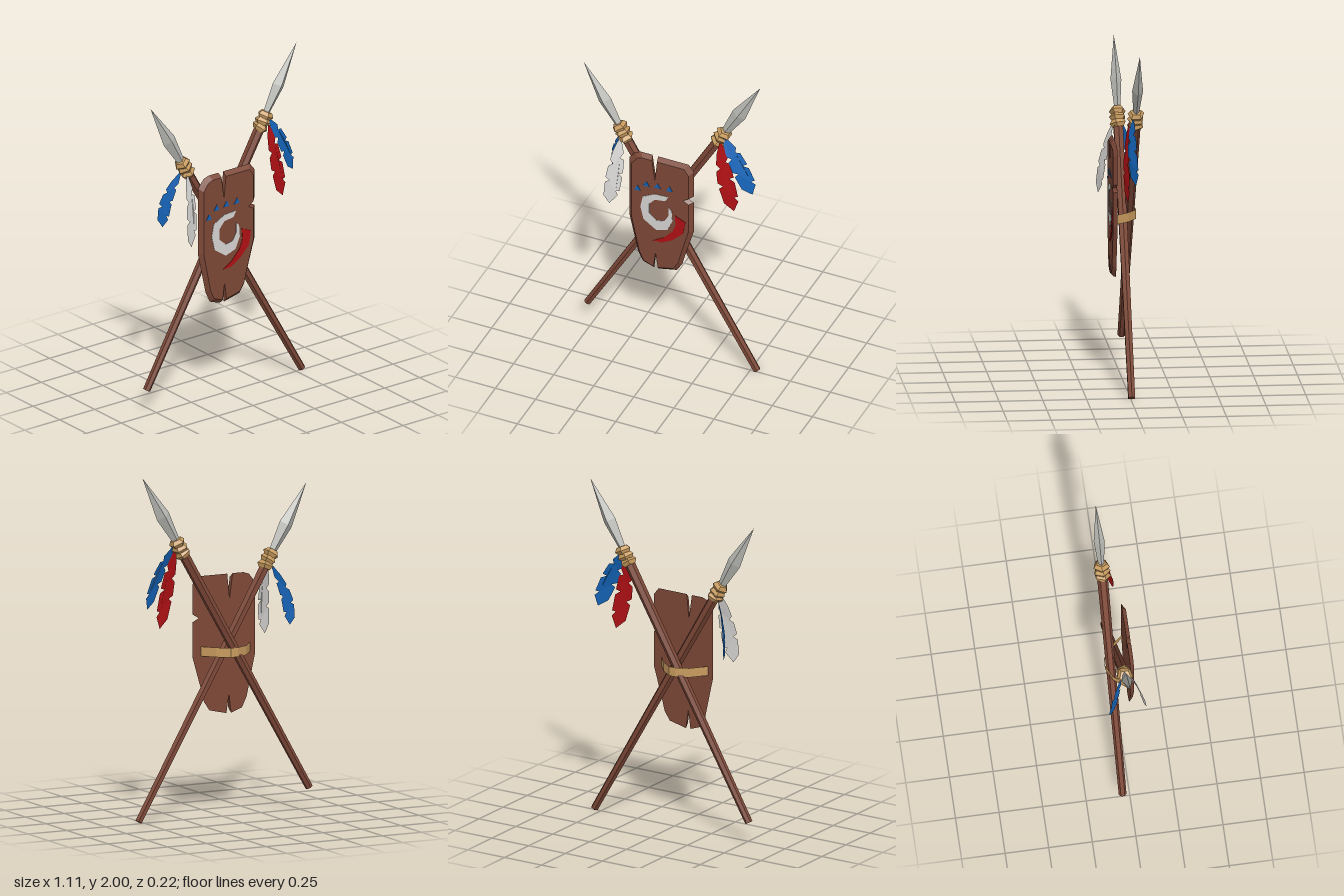
import * as THREE from 'three';

const mat = (name, color, side = THREE.FrontSide) => {
  const m = new THREE.MeshStandardMaterial({ color, side, flatShading: true });
  m.name = name;
  return m;
};

export function createModel() {
  const D = THREE.DoubleSide;
  const wood = mat('brown wood', 0x7d4837);
  const steel = mat('grey steel', 0xbcbcb8);
  const tan = mat('tan leather', 0xc89b5e, D);
  const red = mat('red', 0xb01014, D);
  const blue = mat('blue', 0x1464b8, D);
  const white = mat('white', 0xd6d5d3, D);

  const model = new THREE.Group();
  model.name = 'crossedSpearsAndShield';

  const add = (parent, name, geometry, material) => {
    const mesh = new THREE.Mesh(geometry, material);
    mesh.name = name;
    parent.add(mesh);
    return mesh;
  };
  const shapeOf = (pts) => new THREE.Shape(pts.map(([x, y]) => new THREE.Vector2(x, y)));
  const lathe = (pts, sides) =>
    new THREE.LatheGeometry(pts.map(([r, y]) => new THREE.Vector2(r, y)), sides);

  // Spear: tapered shaft, three crooked binding rings and a diamond blade
  function spear(name, foot, tip, turn) {
    const group = new THREE.Group();
    group.name = name;
    const a = new THREE.Vector3(...foot);
    const dir = new THREE.Vector3(...tip).sub(a);
    const L = dir.length();
    group.position.copy(a);
    group.quaternion.setFromUnitVectors(new THREE.Vector3(0, 1, 0), dir.normalize());
    const shaftLength = L - 0.46;
    const shaft = add(group, 'shaft', new THREE.CylinderGeometry(0.031, 0.022, shaftLength, 6), wood);
    shaft.position.y = shaftLength / 2;
    shaft.rotation.y = turn;
    for (let i = 0; i < 3; i++) {
      const ring = add(group, 'binding', lathe(
        [[0, -0.024], [0.034, -0.022], [0.05, 0], [0.034, 0.022], [0, 0.024]], 5), tan);
      ring.position.y = L - 0.525 + i * 0.037;
      ring.rotation.set(0.14 * (i % 2 ? -1 : 1), i * 1.1, 0.12 * (i % 2 ? 1 : -1));
    }
    const blade = add(group, 'blade', lathe(
      [[0, L - 0.47], [0.02, L - 0.465], [0.043, L - 0.265], [0, L]], 4), steel);
    blade.scale.z = 0.72;
    model.add(group);
  }
  spear('rearSpear', [-0.535, 0.13, -0.046], [0.54, 2.0, -0.05], 0);
  spear('frontSpear', [0.54, 0.01, -0.003], [-0.54, 1.88, -0.003], Math.PI / 6);

  // Shield board: notched outline whose front face is drawn in for a bevelled rim
  const outline = [
    [-0.195, 1.375], [-0.16, 1.387], [-0.09, 1.387], [-0.07, 1.24], [-0.055, 1.387], [0.135, 1.387],
    [0.168, 1.345], [0.168, 1.17], [0.128, 1.145], [0.168, 1.125], [0.168, 0.92], [0.11, 0.72],
    [0.095, 0.66], [0.06, 0.608], [-0.05, 0.583], [-0.066, 0.695], [-0.08, 0.583],
    [-0.15, 0.608], [-0.18, 0.67], [-0.235, 0.92], [-0.235, 1.325],
  ];
  const board = new THREE.ExtrudeGeometry(shapeOf(outline), { depth: 0.023, bevelEnabled: false });
  const p = board.attributes.position;
  for (let i = 0; i < p.count; i++) {
    if (p.getZ(i) > 0.01) {
      p.setX(i, -0.034 + (p.getX(i) + 0.034) * 0.88);
      p.setY(i, 0.985 + (p.getY(i) - 0.985) * 0.94);
    }
  }
  board.translate(0, 0, 0.042);
  board.computeVertexNormals();
  add(model, 'shield', board, wood);

  // Painted marks on the shield
  const paint = (name, pts, material) => add(model, name,
    new THREE.ExtrudeGeometry(shapeOf(pts), { depth: 0.003, bevelEnabled: false }), material).position.z = 0.0645;
  paint('crescentMark', [
    [0.02, 1.135], [-0.065, 1.13], [-0.14, 1.09], [-0.155, 1.015], [-0.135, 0.93], [-0.055, 0.875],
    [0.015, 0.9], [0.045, 0.97], [0.04, 1.04], [0.02, 1.06], [0.02, 1.0], [-0.005, 0.955],
    [-0.055, 0.945], [-0.1, 0.985], [-0.1, 1.05], [-0.065, 1.09], [0, 1.1],
  ], white);
  paint('sweepMark', [
    [0.06, 1.015], [0.125, 0.985], [0.11, 0.9], [0.045, 0.835], [-0.02, 0.797], [-0.075, 0.795],
    [-0.01, 0.835], [0.045, 0.895], [0.065, 0.95],
  ], red);
  for (const [x, y] of [[-0.175, 1.14], [-0.12, 1.185], [-0.05, 1.192], [0.025, 1.192]]) {
    paint('smallMark', [[x - 0.02, y - 0.016], [x + 0.02, y - 0.014], [x + 0.002, y + 0.02]], blue);
  }

  // Strap: ribbon running from the shield's back round both shafts
  const path = [[-0.2, 0.042], [-0.13, -0.045], [-0.06, -0.08], [-0.015, -0.08], [0.055, -0.03], [0.115, 0.042]];
  const strap = new THREE.PlaneGeometry(1, 1, path.length - 1, 1);
  const sp = strap.attributes.position;
  for (let i = 0; i < sp.count; i++) {
    const [x, z] = path[i % path.length];
    sp.setXYZ(i, x, i < path.length ? 0.98 : 0.925, z);
  }
  strap.computeVertexNormals();
  add(model, 'strap', strap, tan);

  // Feathers: ragged outline (u across, v along) laid from base to tip with a slight bend
  const barb = [
    [-0.15, 0], [0.15, 0], [0.7, 0.2], [0.35, 0.27], [0.85, 0.3], [1, 0.5], [0.45, 0.51], [1, 0.57],
    [1, 0.79], [0.55, 0.79], [0.9, 0.86], [0.1, 1], [-0.8, 0.87], [-0.95, 0.65], [-0.45, 0.62],
    [-1, 0.57], [-0.9, 0.4], [-0.4, 0.36], [-0.8, 0.3], [-0.6, 0.15],
  ];
  function feather(name, material, base, tip, across, bend) {
    const g = new THREE.ShapeGeometry(shapeOf(barb));
    const q = g.attributes.position;
    for (let i = 0; i < q.count; i++) {
      const u = q.getX(i), v = q.getY(i), s = Math.sin(Math.PI * v);
      q.setXYZ(i, ...base.map((b, k) => b + (tip[k] - b) * v + across[k] * u + bend[k] * s));
    }
    g.computeVertexNormals();
    add(model, name, g, material);
  }
  feather('redFeather', red, [0.31, 1.56, -0.01], [0.395, 1.11, 0.005], [0.048, 0.01, -0.012], [-0.005, 0, 0.012]);
  feather('leftBlueFeather', blue, [0.325, 1.59, -0.03], [0.495, 1.235, -0.03], [0.042, 0.015, -0.022], [0.01, 0.01, 0.012]);
  feather('whiteFeather', white, [-0.3, 1.42, 0.025], [-0.335, 1.01, 0.108], [0.045, 0, -0.016], [0.008, 0, 0.014]);
  feather('rightBlueFeather', blue, [-0.31, 1.42, -0.025], [-0.392, 1.085, -0.09], [0.025, 0, 0.025], [-0.025, 0, -0.01]);

  return model;
}
